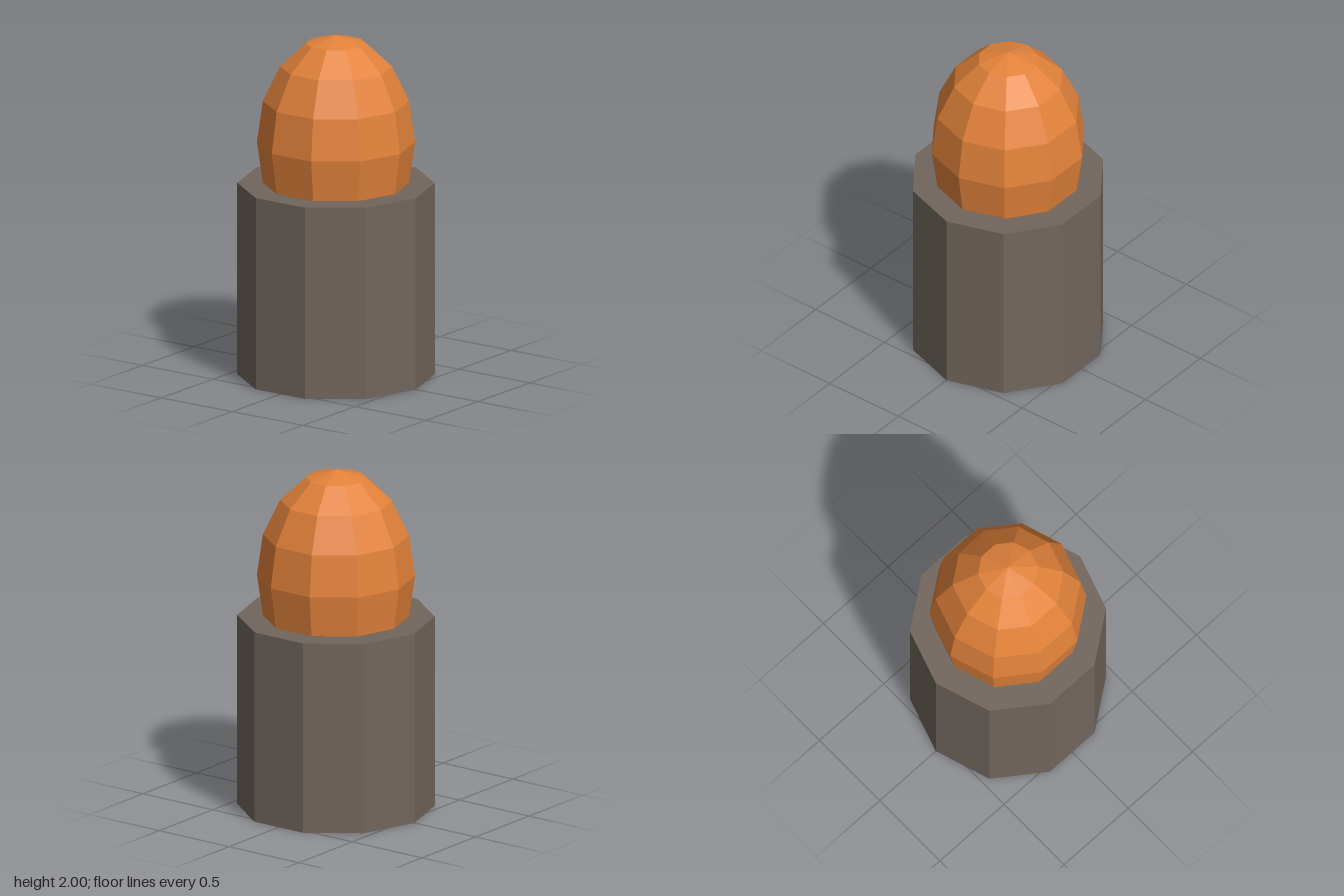
import * as THREE from 'three';

const SIDES = 10;

function addPart(group, name, geometry, material, y) {
  // unshared vertices give crisp facets
  const flat = geometry.toNonIndexed();
  flat.computeVertexNormals();
  const mesh = new THREE.Mesh(flat, material);
  mesh.name = name;
  mesh.position.y = y;
  group.add(mesh);
}

export function createModel() {
  const group = new THREE.Group();
  group.name = 'cappedCylinder';

  const grey = new THREE.MeshStandardMaterial({ color: 0x71665d });
  grey.name = 'warmGrey';
  const orange = new THREE.MeshStandardMaterial({ color: 0xe2823a });
  orange.name = 'orange';

  // ten-sided base with a corner facing the front
  const height = 1.128;
  addPart(group, 'base', new THREE.CylinderGeometry(0.562, 0.562, height, SIDES), grey, height / 2);

  // stretched dome sunk into the base
  const dome = new THREE.SphereGeometry(0.45, SIDES, 8, Math.PI / 2).scale(1, 1.4, 1);
  addPart(group, 'dome', dome, orange, 1.37);

  return group;
}
